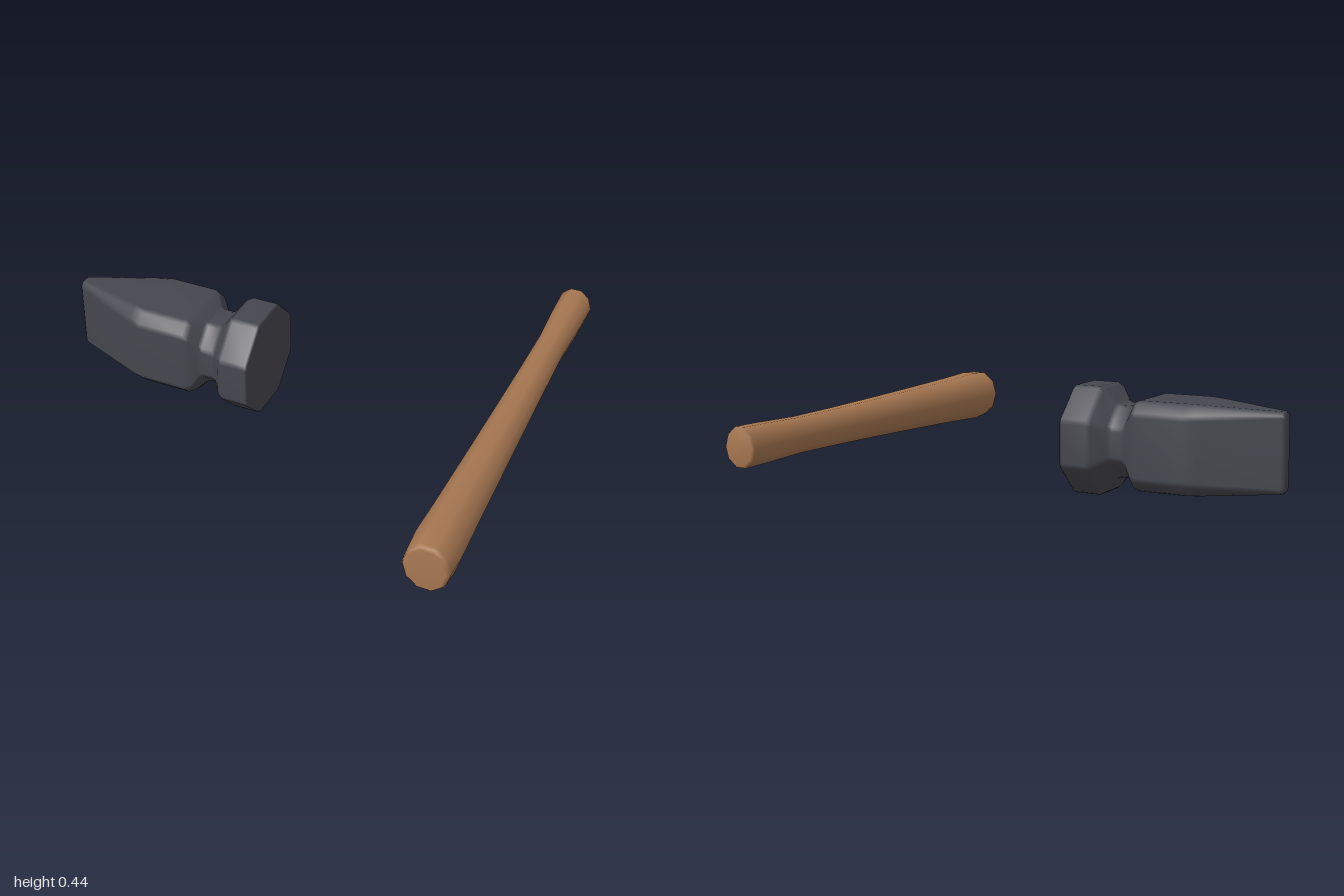
import * as THREE from 'three';

// Closed smooth skin over rings that run counter-clockwise around the travel axis, with fan caps.
function loft(rings) {
  const n = rings[0].length;
  const points = rings.flat();
  const index = [];
  for (let i = 0; i < rings.length - 1; i++) {
    for (let j = 0; j < n; j++) {
      const k = (j + 1) % n;
      const a = i * n + j, b = i * n + k, c = a + n, d = b + n;
      index.push(a, b, d, a, d, c);
    }
  }
  const centre = (ring) => ring.reduce((s, p) => s.add(p), new THREE.Vector3()).divideScalar(n);
  const last = (rings.length - 1) * n;
  const start = points.length;
  points.push(centre(rings[0]), centre(rings[rings.length - 1]));
  for (let j = 0; j < n; j++) {
    const k = (j + 1) % n;
    index.push(start, k, j, start + 1, last + j, last + k);
  }
  const geometry = new THREE.BufferGeometry().setFromPoints(points);
  geometry.setIndex(index);
  geometry.computeVertexNormals();
  return geometry;
}

// Rectangle with cut corners, each of its eight corners slightly softened.
function chamferedRing(x, hy, hz, cut) {
  const corners = [
    [hy, -hz + cut], [hy, hz - cut], [hy - cut, hz], [-hy + cut, hz],
    [-hy, hz - cut], [-hy, -hz + cut], [-hy + cut, -hz], [hy - cut, -hz],
  ].map(([y, z]) => new THREE.Vector3(x, y, z));
  const soft = Math.min(0.012, cut * 0.3);
  return corners.flatMap((p, i) => [corners[(i + 7) % 8], corners[(i + 1) % 8]].map((q) => {
    const step = q.clone().sub(p);
    return p.clone().add(step.setLength(Math.min(soft, step.length() * 0.4)));
  }));
}

export function createModel() {
  const group = new THREE.Group();
  const steel = new THREE.MeshStandardMaterial({ color: 0x46464f });
  steel.name = 'darkSteel';
  const wood = new THREE.MeshStandardMaterial({ color: 0xa87852 });
  wood.name = 'wood';

  // Hammer head: wedge peen, square body, octagonal neck and striking face
  // x, half height, half depth, corner cut
  const headSections = [
    [-1.0, 0.15, 0.025, 0.012],
    [-0.988, 0.16, 0.038, 0.018],
    [-0.69, 0.178, 0.165, 0.045],
    [-0.64, 0.18, 0.181, 0.05],
    [-0.44, 0.18, 0.181, 0.05],
    [-0.415, 0.172, 0.172, 0.052],
    [-0.385, 0.15, 0.15, 0.075],
    [-0.37, 0.146, 0.146, 0.083],
    [-0.325, 0.146, 0.146, 0.085],
    [-0.305, 0.155, 0.155, 0.091],
    [-0.265, 0.208, 0.208, 0.122],
    [-0.245, 0.219, 0.219, 0.128],
    [-0.138, 0.219, 0.219, 0.128],
    [-0.13, 0.212, 0.212, 0.124],
  ];
  const head = new THREE.Mesh(loft(headSections.map((s) => chamferedRing(...s))), steel);
  head.name = 'hammerHead';
  head.position.y = 0.219;
  group.add(head);

  // Handle: ten-sided grip, thicker toward the front
  // z, half width, half height
  const handleSections = [
    [-0.91, 0.064, 0.072],
    [-0.898, 0.072, 0.081],
    [-0.75, 0.07, 0.079],
    [-0.55, 0.062, 0.073],
    [-0.3, 0.067, 0.076],
    [0, 0.074, 0.082],
    [0.3, 0.082, 0.09],
    [0.6, 0.09, 0.099],
    [0.8, 0.097, 0.108],
    [0.89, 0.092, 0.102],
    [0.904, 0.087, 0.096],
    [0.91, 0.078, 0.087],
  ];
  const sides = 10;
  const handleRing = ([z, hx, hy]) => Array.from({ length: sides }, (_, i) => {
    const a = (i / sides) * Math.PI * 2;
    return new THREE.Vector3(hx * Math.cos(a), (hy / Math.sin(Math.PI * 0.4)) * Math.sin(a), z);
  });
  const handle = new THREE.Mesh(loft(handleSections.map(handleRing)), wood);
  handle.name = 'handle';
  handle.position.set(0.902, 0.222, 0);
  group.add(handle);

  return group;
}
